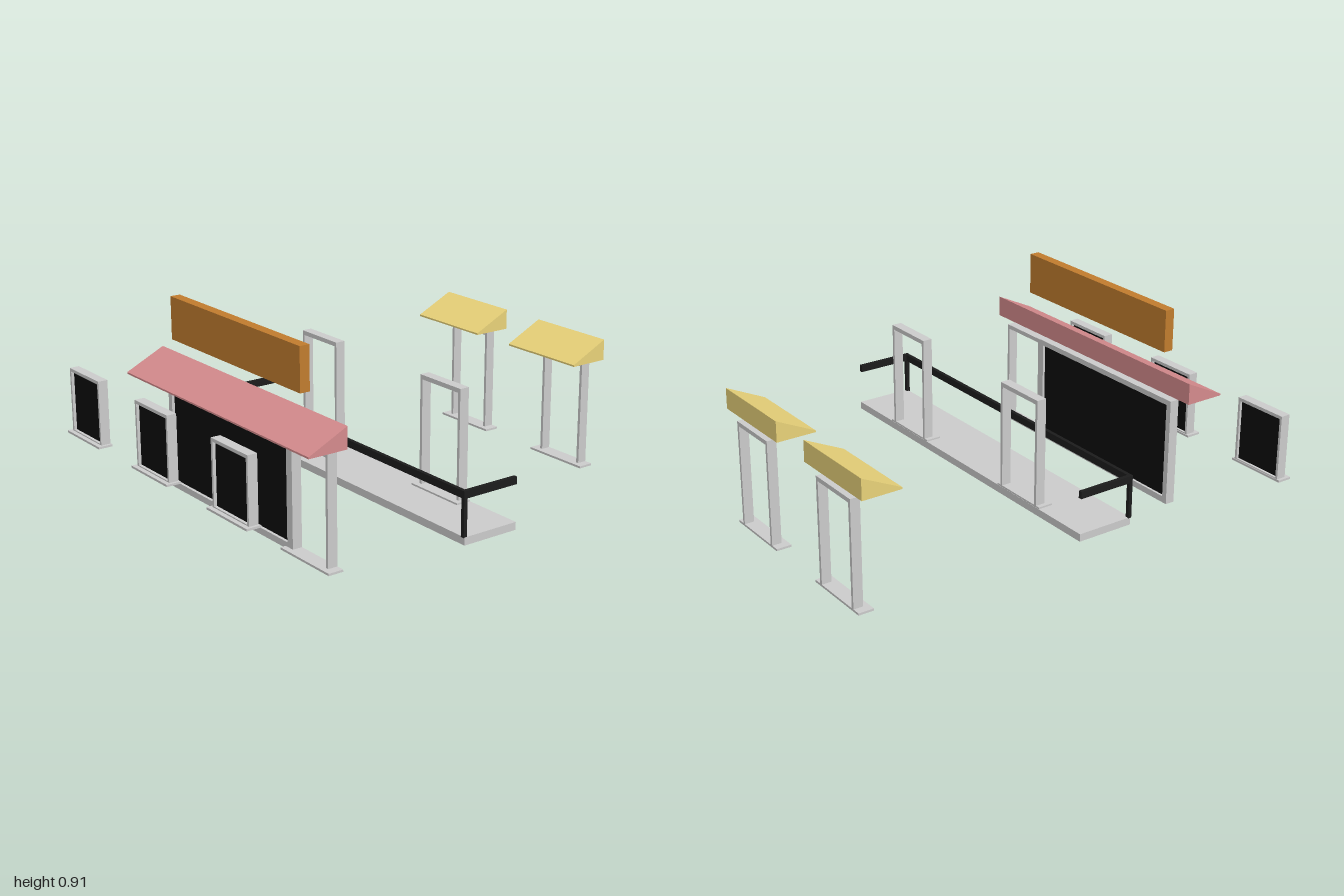
import * as THREE from 'three';

const mat = (color) => new THREE.MeshStandardMaterial({ color });
const grey = mat(0xcccccc), black = mat(0x0d0d0d), railBlack = mat(0x1c1c1c);
const orange = mat(0xc17c2e), pink = mat(0xd58b8d), yellow = mat(0xe8d279);

// Box given by its extents on each axis
function box(name, [x0, x1], [y0, y1], [z0, z1], material) {
  const mesh = new THREE.Mesh(new THREE.BoxGeometry(x1 - x0, y1 - y0, z1 - z0), material);
  mesh.position.set((x0 + x1) / 2, (y0 + y1) / 2, (z0 + z1) / 2);
  mesh.name = name;
  return mesh;
}

// Rectangular frame with a hole; b is the border: [side, bottom, top]
function frame(name, [x0, x1], [y0, y1], [z0, z1], [side, bottom, top]) {
  const shape = new THREE.Shape();
  shape.moveTo(x0, y0).lineTo(x1, y0).lineTo(x1, y1).lineTo(x0, y1).closePath();
  const hole = new THREE.Path();
  hole.moveTo(x0 + side, y0 + bottom).lineTo(x0 + side, y1 - top)
    .lineTo(x1 - side, y1 - top).lineTo(x1 - side, y0 + bottom).closePath();
  shape.holes.push(hole);
  const geo = new THREE.ExtrudeGeometry(shape, { depth: z1 - z0, bevelEnabled: false });
  geo.translate(0, 0, z0);
  const mesh = new THREE.Mesh(geo, grey);
  mesh.name = name;
  return mesh;
}

// Wedge canopy, upright at the back and sloping down to the front
function awning(name, x0, x1, zBack, material) {
  const shape = new THREE.Shape();
  shape.moveTo(0, 0.53).lineTo(0.187, 0.53).lineTo(0.187, 0.538).lineTo(0, 0.627).closePath();
  const geo = new THREE.ExtrudeGeometry(shape, { depth: x1 - x0, bevelEnabled: false });
  geo.translate(0, 0, -(x1 - x0) / 2).rotateY(-Math.PI / 2);
  const mesh = new THREE.Mesh(geo, material);
  mesh.position.set((x0 + x1) / 2, 0, zBack);
  mesh.name = name;
  return mesh;
}

// Open door frame standing on a threshold plate
function door(name, cx, y, zBack, sillHalf) {
  const g = new THREE.Group();
  g.name = name;
  g.add(
    frame('doorFrame', [cx - 0.131, cx + 0.131], [y, y + 0.503], [zBack, zBack + 0.046], [0.014, 0.01, 0.02]),
    box('threshold', [cx - sillHalf, cx + sillHalf], [y, y + 0.01], [zBack, zBack + 0.072], grey)
  );
  return g;
}

// Small glazed window on a sill
function smallWindow(cx) {
  const g = new THREE.Group();
  g.name = 'window';
  g.add(
    frame('windowFrame', [cx - 0.134, cx + 0.134], [0.205, 0.51], [0.933, 0.979], [0.012, 0.01, 0.015]),
    box('windowPane', [cx - 0.124, cx + 0.124], [0.212, 0.5], [0.945, 0.965], black),
    box('windowSill', [cx - 0.148, cx + 0.148], [0.2, 0.21], [0.93, 1], grey)
  );
  return g;
}

export function createModel() {
  const root = new THREE.Group();
  root.name = 'shopFrontKit';

  // Sign board
  root.add(box('signBoard', [-0.48, 0.5], [0.712, 0.907], [0.675, 0.722], orange));

  // Shop front: display window, door and long awning
  const shop = new THREE.Group();
  shop.name = 'shopFront';
  shop.add(
    frame('displayFrame', [-0.555, 0.397], [0, 0.505], [0.66, 0.706], [0.027, 0.03, 0.025]),
    box('displayPane', [-0.53, 0.385], [0.025, 0.485], [0.672, 0.692], black),
    door('shopDoor', 0.527, 0, 0.66, 0.17),
    awning('shopAwning', -0.67, 0.73, 0.66, pink)
  );
  root.add(shop);

  // Loose windows
  for (const x of [-0.833, -0.241, 0.37]) root.add(smallWindow(x));

  // Balcony: two slabs, two doors and a railing
  const balcony = new THREE.Group();
  balcony.name = 'balcony';
  balcony.add(
    box('rightSlab', [-0.768, 0.1], [0.105, 0.14], [-0.012, 0.262], grey),
    box('leftSlab', [0.1, 0.975], [0.105, 0.14], [-0.012, 0.262], grey),
    door('balconyDoor', -0.33, 0.138, -0.011, 0.152),
    door('balconyDoor', 0.537, 0.138, -0.011, 0.152),
    box('frontRail', [-0.77, 0.975], [0.305, 0.338], [0.25, 0.267], railBlack)
  );
  for (const [x0, x1] of [[-0.77, -0.753], [0.957, 0.975]]) {
    balcony.add(
      box('sideRail', [x0, x1], [0.305, 0.338], [-0.012, 0.25], railBlack),
      box('railPost', [x0, x1], [0.138, 0.305], [0.25, 0.267], railBlack)
    );
  }
  root.add(balcony);

  // Rear doors with small awnings
  for (const x of [-0.426, 0.241]) {
    root.add(door('rearDoor', x, 0, -1, 0.17), awning('rearAwning', x - 0.22, x + 0.22, -1, yellow));
  }
  return root;
}
